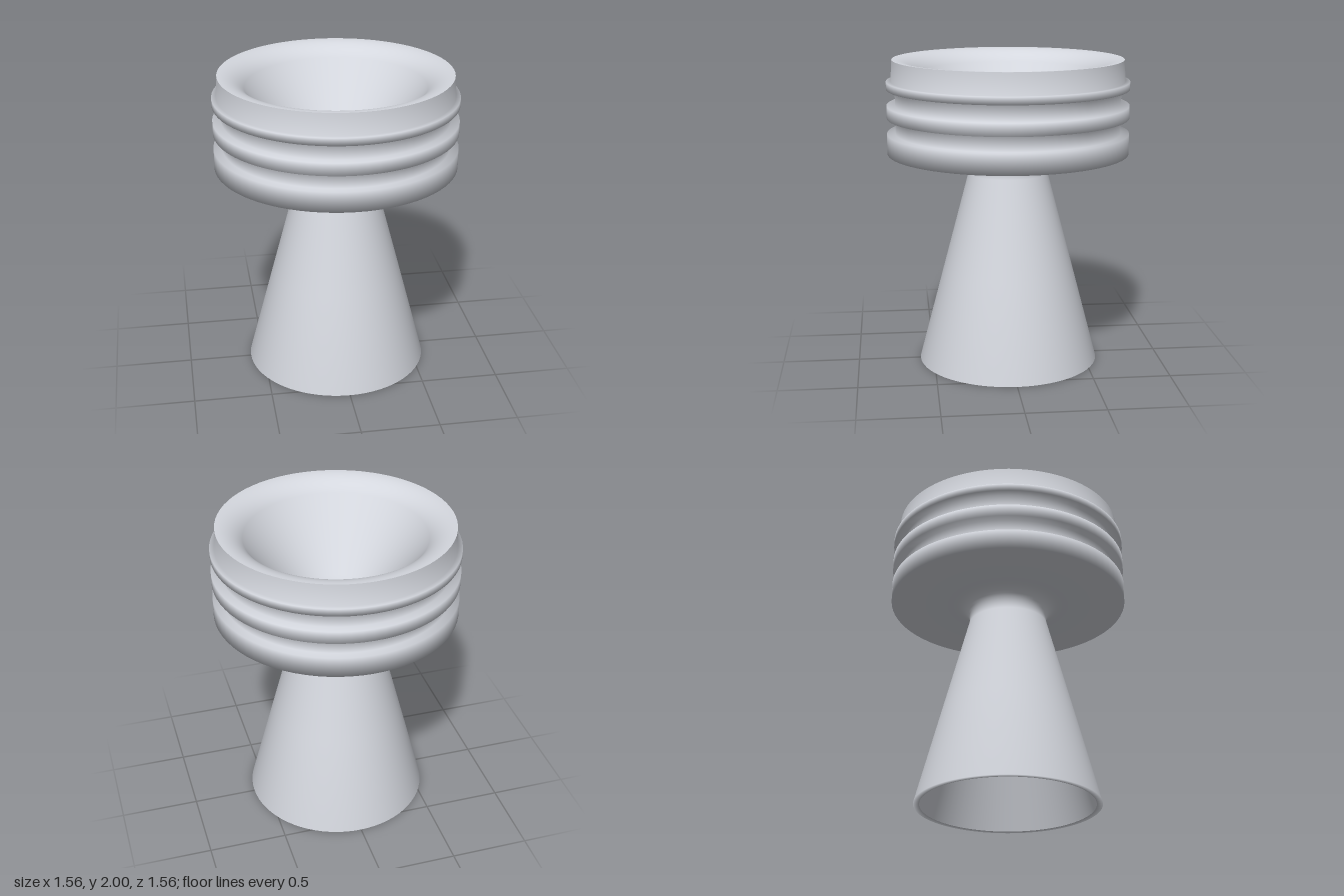
import * as THREE from 'three';

const SEGMENTS = 72;

export function createModel() {
  const group = new THREE.Group();
  group.name = 'flaredNozzle';

  const metal = new THREE.MeshStandardMaterial({ color: 0xd4d7de });
  metal.name = 'pale grey metal';

  // Revolve a profile of [radius, height] pairs around the y axis
  function revolve(name, profile) {
    const points = profile.map(([r, y]) => new THREE.Vector2(r, y));
    const mesh = new THREE.Mesh(new THREE.LatheGeometry(points, SEGMENTS), metal);
    mesh.name = name;
    group.add(mesh);
  }

  // Rounded fillet: points of a circular arc between two angles
  function arc(cx, cy, radius, from, to, steps) {
    const out = [];
    for (let i = 0; i <= steps; i++) {
      const a = from + (to - from) * i / steps;
      out.push([cx + radius * Math.cos(a), cy + radius * Math.sin(a)]);
    }
    return out;
  }

  // Conical skirt with a fillet flowing into the underside of the head
  revolve('skirt', [
    [0.552, 0], [0.59, 0], [0.425, 0.628],
    ...arc(0.365, 1.287, 0.11, Math.PI * 1.08, Math.PI * 0.5, 10),
  ]);

  // Head with two ring grooves and a slightly tapered crown
  const outer = 0.78, groove = 0.725;
  revolve('groovedHead', [
    [0.365, 1.397], [outer, 1.397],
    [outer, 1.527], [groove, 1.527], [groove, 1.628],
    [outer, 1.628], [outer, 1.708], [groove, 1.708], [groove, 1.813],
    [outer, 1.813], [outer, 1.862], [0.75, 1.862], [0.742, 2],
  ]);

  // Inner wall: broadly rounded lip, funnel bowl, narrow throat, straight flared exit
  const throat = new THREE.CubicBezierCurve(
    new THREE.Vector2(0.25, 1.486), new THREE.Vector2(0.19, 1.406),
    new THREE.Vector2(0.169, 1.335), new THREE.Vector2(0.194, 1.25));
  revolve('innerWall', [
    ...arc(0.742, 1.79, 0.21, Math.PI * 0.5, Math.PI * 0.795, 10),
    ...throat.getPoints(10).map(p => [p.x, p.y]),
    [0.373, 0.625], [0.552, 0],
  ]);

  return group;
}
